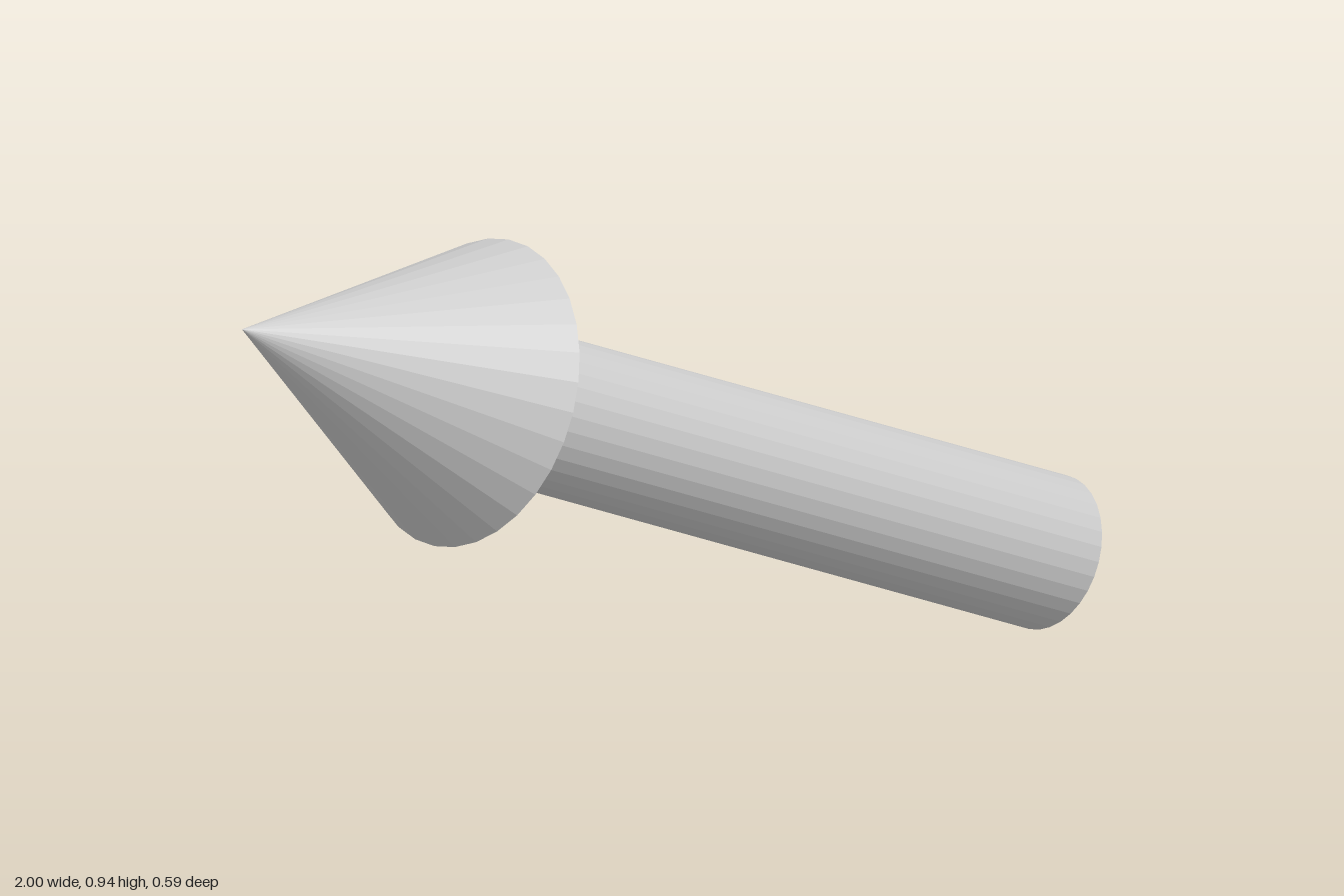
import * as THREE from 'three';

export function createModel() {
  const group = new THREE.Group();
  group.name = 'arrow';
  const material = new THREE.MeshStandardMaterial({ color: 0xcccccc, flatShading: true });

  const tail = new THREE.Vector3(0.946, 0.14, 0.08);
  const tip = new THREE.Vector3(-1, 0.87, -0.035);
  const length = tail.distanceTo(tip);
  const headLength = 0.593;
  const shaftLength = length - headLength;
  const sides = 32;

  const add = (name, geometry, y) => {
    const mesh = new THREE.Mesh(geometry, material);
    mesh.name = name;
    mesh.position.y = y;
    group.add(mesh);
  };

  // Built upright from the tail, then tilted along the arrow's axis
  add('shaft', new THREE.CylinderGeometry(0.149, 0.149, shaftLength, sides), shaftLength / 2);
  add('head', new THREE.ConeGeometry(0.297, headLength, sides), shaftLength + headLength / 2);

  const axis = tip.clone().sub(tail).normalize();
  group.quaternion.setFromUnitVectors(new THREE.Vector3(0, 1, 0), axis);
  group.position.copy(tail);

  const model = new THREE.Group();
  model.name = 'model';
  model.add(group);
  return model;
}
